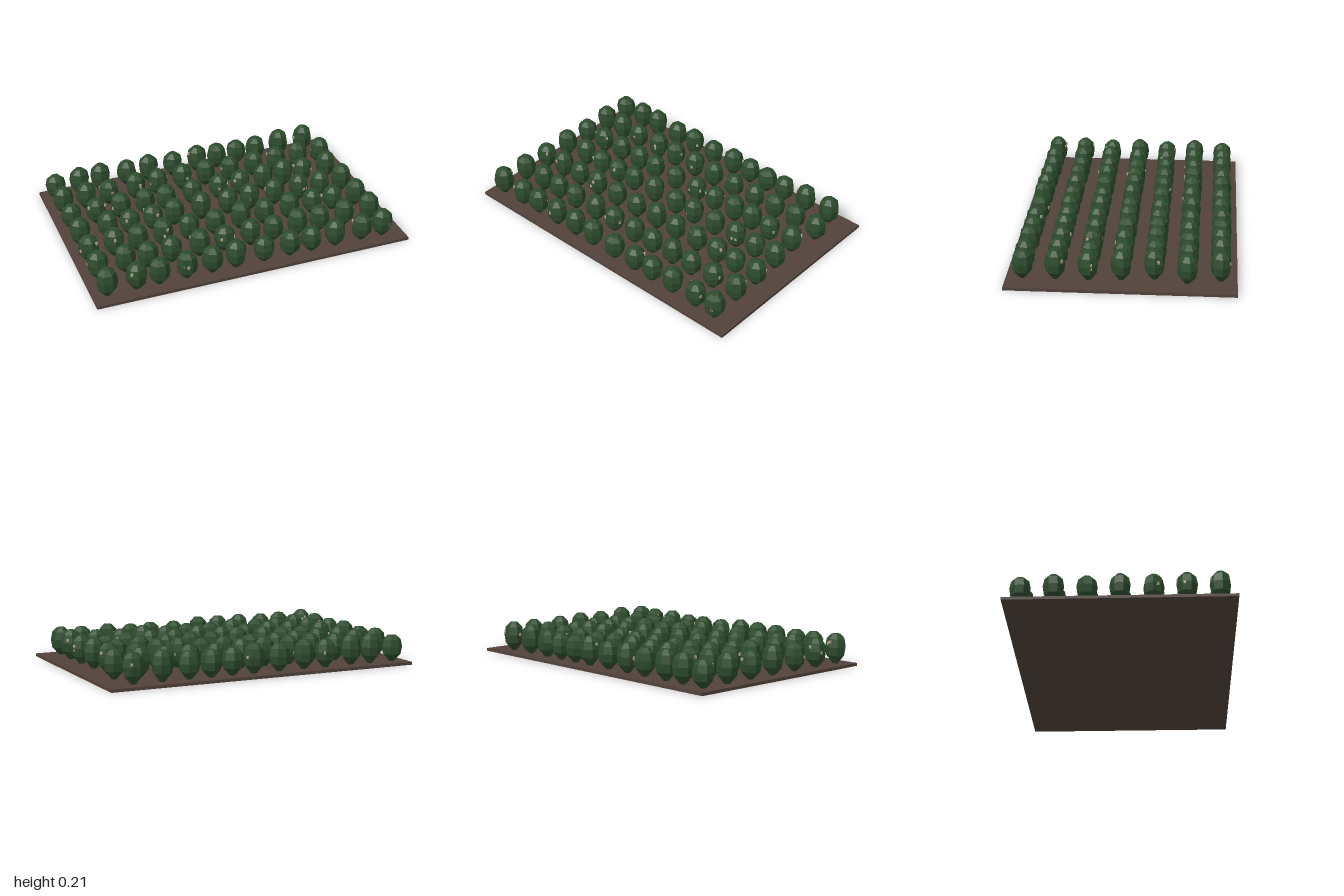
import * as THREE from 'three';

const leaf = new THREE.MeshStandardMaterial({ color: 0x2d4c2d });
leaf.name = 'dark green leaf';
const soil = new THREE.MeshStandardMaterial({ color: 0x52433a });
soil.name = 'brown soil';
const berry = new THREE.MeshStandardMaterial({ color: 0xb5a685 });
berry.name = 'pale berry';

// planting positions along x, one list per row from back to front
const ROWS = [
  [-.91, -.75, -.61, -.43, -.28, -.11, .06, .20, .34, .48, .65, .83],
  [-.91, -.76, -.61, -.43, -.28, -.11, .05, .22, .39, .55, .71, .87],
  [-.91, -.75, -.59, -.43, -.29, -.11, .07, .22, .38, .52, .66, .83],
  [-.91, -.73, -.59, -.44, -.30, -.12, .06, .21, .38, .55, .70, .85],
  [-.91, -.75, -.60, -.44, -.27, -.10, .07, .23, .40, .56, .70, .86],
  [-.91, -.74, -.60, -.45, -.27, -.11, .06, .21, .37, .52, .69, .86],
  [-.91, -.73, -.59, -.42, -.26, -.11, .07, .24, .38, .54, .72, .86],
];
const ROW_STEP = 0.19;
const SOIL_TOP = 0.018;

function seeded(seed) {
  return () => (seed = (seed * 16807) % 2147483647) / 2147483647;
}

// faceted bush: narrow foot, full sides, small crown
function bushGeometry() {
  const profile = [[0, 0], [.017, 0], [.058, .05], [.066, .102], [.056, .152], [.027, .18], [0, .184]];
  const geo = new THREE.LatheGeometry(profile.map(([r, y]) => new THREE.Vector2(r, y)), 7).toNonIndexed();
  geo.computeVertexNormals();
  return geo;
}

export function createModel() {
  const model = new THREE.Group();
  const random = seeded(41);

  // soil bed
  const bed = new THREE.Mesh(new THREE.BoxGeometry(2, SOIL_TOP, 1.333), soil);
  bed.name = 'soilBed';
  bed.position.y = SOIL_TOP / 2;
  model.add(bed);

  const bushGeo = bushGeometry();
  const berryGeo = new THREE.BoxGeometry(0.014, 0.018, 0.014);

  ROWS.forEach((row, r) => {
    row.forEach((x) => {
      const plant = new THREE.Group();
      plant.name = 'plant';
      plant.position.set(x, SOIL_TOP, (r - 3) * ROW_STEP);
      plant.scale.set(1, 0.9 + random() * 0.12, 0.95);

      const bush = new THREE.Mesh(bushGeo, leaf);
      bush.name = 'bush';
      bush.rotation.y = random() * Math.PI * 2;
      plant.add(bush);

      // a few plants carry small pale berries on their upper sides
      const count = random() < 0.5 ? 1 + Math.floor(random() * 2) : 0;
      for (let i = 0; i < count; i++) {
        const angle = random() * Math.PI * 2;
        const fruit = new THREE.Mesh(berryGeo, berry);
        fruit.name = 'berry';
        fruit.position.set(Math.sin(angle) * 0.056, 0.09 + random() * 0.05, Math.cos(angle) * 0.056);
        fruit.rotation.y = angle;
        plant.add(fruit);
      }
      model.add(plant);
    });
  });
  return model;
}
